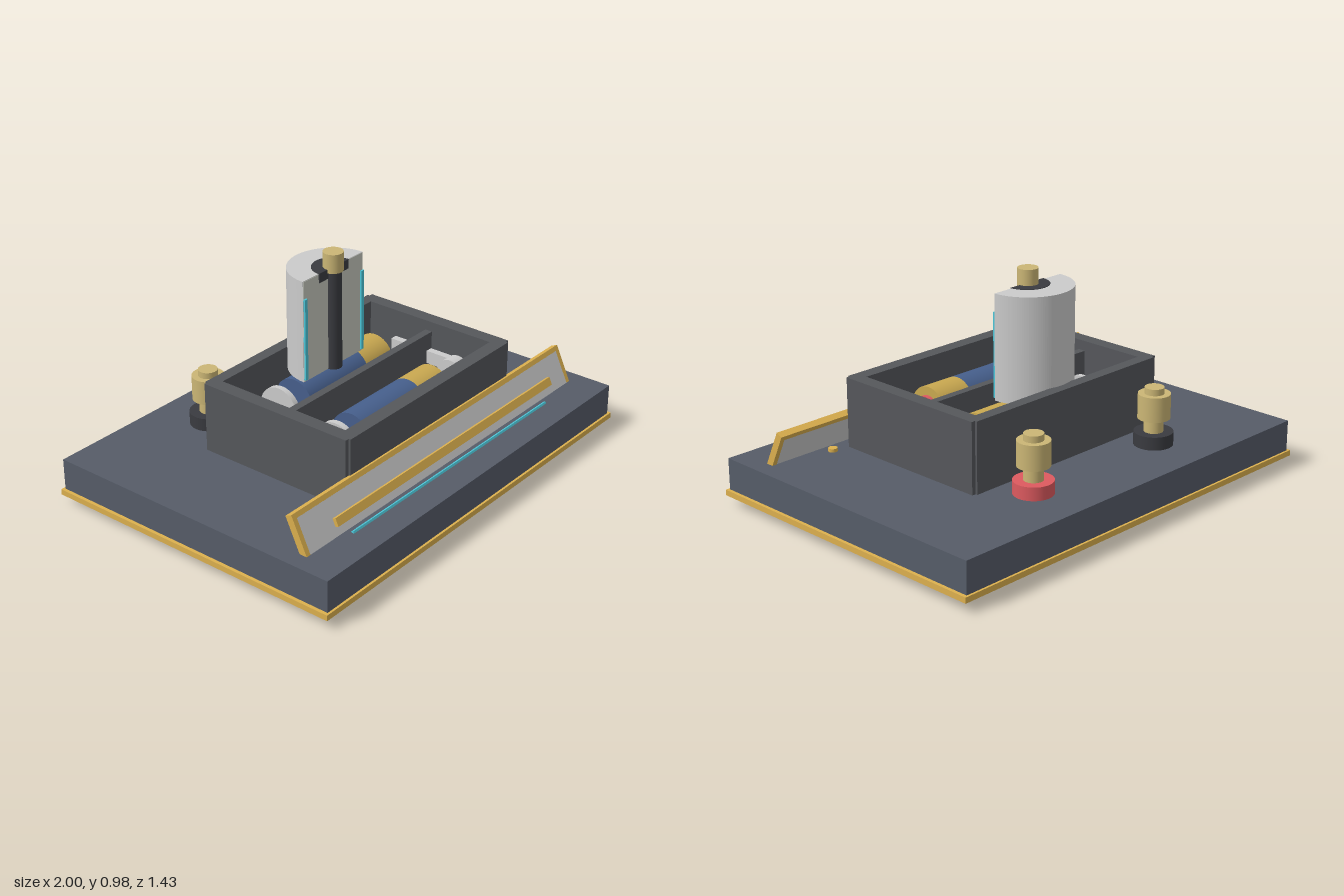
import * as THREE from 'three';

const mat = (color) => new THREE.MeshStandardMaterial({ color });
const M = {
  slate: mat(0x565c68), housing: mat(0x55575b), gold: mat(0xdcb04e), brass: mat(0xcbb675),
  cellBrass: mat(0xc9a850), blue: mat(0x465f8c), red: mat(0xdd5a5f), black: mat(0x3a3b40),
  silver: mat(0xcccccc), face: mat(0xc4c7bd), cyan: mat(0x4cc6d8),
};

function add(parent, name, geo, material, x = 0, y = 0, z = 0) {
  const mesh = new THREE.Mesh(geo, material);
  mesh.name = name;
  mesh.position.set(x, y, z);
  parent.add(mesh);
  return mesh;
}

// box given by its min and max on each axis
function box(parent, name, material, x0, x1, y0, y1, z0, z1) {
  return add(parent, name, new THREE.BoxGeometry(x1 - x0, y1 - y0, z1 - z0), material,
    (x0 + x1) / 2, (y0 + y1) / 2, (z0 + z1) / 2);
}

// upright cylinder between two heights
function post(parent, name, material, r, y0, y1, x, z) {
  return add(parent, name, new THREE.CylinderGeometry(r, r, y1 - y0, 40), material, x, (y0 + y1) / 2, z);
}

// cylinder lying along x
function rod(parent, name, material, r, x0, x1, y, z) {
  const geo = new THREE.CylinderGeometry(r, r, x1 - x0, 40).rotateZ(Math.PI / 2);
  return add(parent, name, geo, material, (x0 + x1) / 2, y, z);
}

// upright half cylinder, round towards the back, flat face at local z = 0
function halfCylinder(r, h) {
  const shape = new THREE.Shape();
  shape.absarc(0, 0, r, 0, Math.PI, false);
  shape.closePath();
  return new THREE.ExtrudeGeometry(shape, { depth: h, bevelEnabled: false, curveSegments: 32 })
    .rotateX(-Math.PI / 2);
}

function group(parent, name) {
  const g = new THREE.Group();
  g.name = name;
  parent.add(g);
  return g;
}

export function createModel() {
  const model = new THREE.Group();
  model.name = 'batteryDisplay';

  // Plinth on a thin gold plate
  box(model, 'plinth', M.slate, -0.985, 0.985, 0.055, 0.215, -0.705, 0.705);
  box(model, 'plinthTrim', M.gold, -1, 1, 0.05, 0.075, -0.715, 0.715);

  // Open housing
  const housing = group(model, 'housing');
  for (const s of [-1, 1]) {
    const side = box(housing, 'sideWall', M.housing, 0.49, 0.553, 0.215, 0.525, -0.298, 0.443);
    side.position.x *= s;
  }
  box(housing, 'backWall', M.housing, -0.535, 0.535, 0.215, 0.525, -0.308, -0.255);
  box(housing, 'frontWall', M.housing, -0.535, 0.535, 0.215, 0.525, 0.39, 0.453);
  box(housing, 'housingFloor', M.housing, -0.49, 0.49, 0.215, 0.24, -0.255, 0.39);
  box(housing, 'divider', M.housing, -0.49, 0.49, 0.24, 0.48, 0.05, 0.085);

  // Two cells with end discs and polarity marks
  for (const [x, z] of [[-0.2, -0.12], [-0.28, 0.25]]) {
    const cell = group(model, 'cell');
    cell.position.set(x, 0.36, z);
    rod(cell, 'cellBody', M.blue, 0.098, 0, 0.38, 0, 0);
    rod(cell, 'cellBand', M.cellBrass, 0.098, 0.38, 0.55, 0, 0);
    rod(cell, 'cellRing', M.red, 0.06, 0.55, 0.57, 0, 0);
    rod(cell, 'cellTip', M.cellBrass, 0.034, 0.57, 0.605, 0, 0);
    rod(cell, 'endDisc', M.silver, 0.098, -0.1, -0.075, 0, 0);
    box(cell, 'minusMark', M.silver, 0.05, 0.09, -0.006, 0.006, 0.09, 0.104);
    box(cell, 'plusMarkBar', M.red, 0.445, 0.485, -0.006, 0.006, 0.09, 0.104);
    box(cell, 'plusMarkStem', M.red, 0.459, 0.471, -0.02, 0.02, 0.09, 0.108);
  }
  rod(model, 'rearContact', M.silver, 0.067, -0.49, -0.42, 0.36, -0.12);
  rod(model, 'frontContact', M.silver, 0.067, 0.4, 0.46, 0.36, 0.25);
  box(model, 'contactStrip', M.silver, 0.455, 0.487, 0.34, 0.4, -0.11, 0.25);

  // Upright cutaway cell: half shell, core rod, cap
  const cut = group(model, 'cutawayCell');
  cut.position.z = -0.07;
  add(cut, 'halfShell', halfCylinder(0.195, 0.46), M.silver, 0, 0.46, 0);
  box(cut, 'cutFace', M.face, -0.193, 0.193, 0.461, 0.918, -0.002, 0.002);
  add(cut, 'seal', halfCylinder(0.096, 0.042), M.black, 0, 0.88, 0.005);
  for (const s of [-1, 1]) {
    box(cut, 'liner', M.cyan, s * 0.185 - 0.008, s * 0.185 + 0.008, 0.47, 0.84, -0.005, 0.01);
  }
  post(cut, 'coreRod', M.black, 0.037, 0.46, 0.906, 0, 0);
  post(cut, 'cap', M.brass, 0.044, 0.906, 0.99, 0, 0);

  // Binding posts behind the housing
  for (const [x, ring] of [[0.365, M.red], [-0.37, M.black]]) {
    const terminal = group(model, 'terminal');
    terminal.position.set(x, 0, -0.452);
    post(terminal, 'terminalBase', ring, 0.085, 0.215, 0.273, 0, 0);
    post(terminal, 'terminalStem', M.brass, 0.042, 0.273, 0.335, 0, 0);
    post(terminal, 'terminalKnob', M.brass, 0.07, 0.333, 0.442, 0, 0);
    post(terminal, 'terminalTop', M.brass, 0.042, 0.442, 0.47, 0, 0);
  }

  // Tilted plate with gold frame
  const plate = group(model, 'tiltedPlate');
  plate.position.set(0, 0.19, 0.537);
  plate.rotation.x = -0.44;
  box(plate, 'platePanel', M.silver, -0.888, 0.888, -0.173, 0.173, -0.014, 0.016);
  for (const s of [-1, 1]) {
    box(plate, 'frameRail', M.gold, -0.91, 0.91, s * 0.183 - 0.011, s * 0.183 + 0.011, -0.016, 0.016);
    box(plate, 'frameStile', M.gold, s * 0.899 - 0.011, s * 0.899 + 0.011, -0.172, 0.172, -0.016, 0.016);
  }
  const bar = box(model, 'plateBar', M.gold, -0.74, 0.74, 0.267, 0.303, 0.536, 0.552);
  bar.rotation.x = -0.44;
  const strip = box(model, 'accentStrip', M.cyan, -0.67, 0.67, 0.2, 0.222, 0.568, 0.58);
  strip.rotation.x = -0.44;
  for (const x of [-0.63, 0.63]) post(model, 'plateFoot', M.gold, 0.02, 0.215, 0.23, x, 0.455);

  return model;
}
